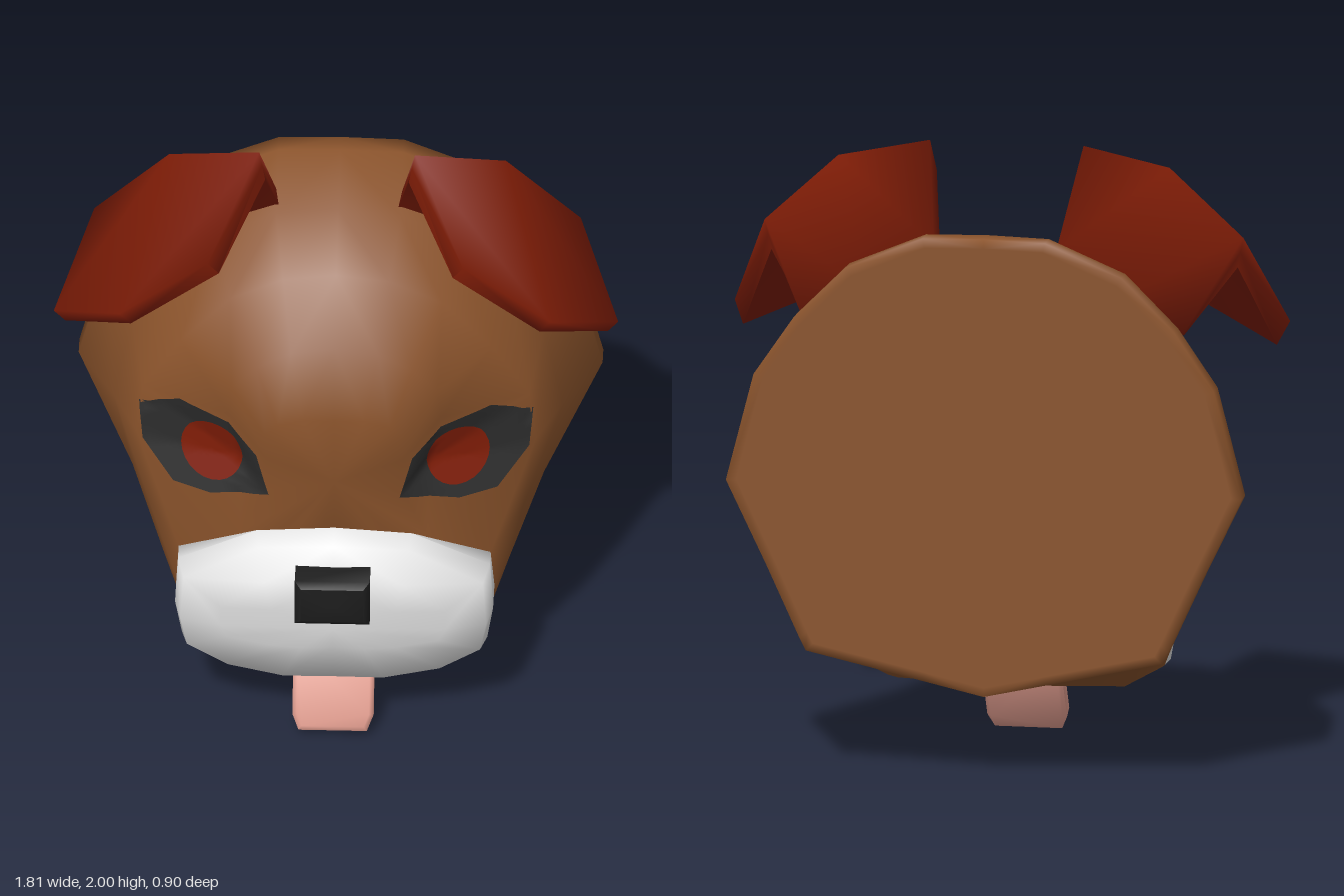
import * as THREE from 'three';
import { toCreasedNormals } from 'three/addons/utils/BufferGeometryUtils.js';

const mat = (name, color) => {
  const m = new THREE.MeshStandardMaterial({ color });
  m.name = name;
  return m;
};

// Skin closed rings of [x, y, z] points, capping both ends around a centre point
function loft(rings, crease, startCentre, endCentre) {
  const n = rings[0].length, pos = rings.flat(2), idx = [];
  const mean = (r) => [0, 1, 2].map((k) => r.reduce((s, p) => s + p[k], 0) / n);
  for (let r = 0; r < rings.length - 1; r++) {
    for (let i = 0; i < n; i++) {
      const a = r * n + i, b = r * n + (i + 1) % n;
      // The second half takes the other diagonal, so mirrored rings stay symmetric
      if (i < n / 2) idx.push(a, b, b + n, a, b + n, a + n);
      else idx.push(a, b, a + n, b, b + n, a + n);
    }
  }
  const s = rings.length * n, last = (rings.length - 1) * n;
  pos.push(...(startCentre || mean(rings[0])), ...(endCentre || mean(rings[rings.length - 1])));
  for (let i = 0; i < n; i++) {
    const j = (i + 1) % n;
    idx.push(s, j, i, s + 1, last + i, last + j);
  }
  // Turn the faces outward if the enclosed volume is negative
  const v = (i) => new THREE.Vector3().fromArray(pos, i * 3);
  let volume = 0;
  for (let i = 0; i < idx.length; i += 3) volume += v(idx[i]).dot(v(idx[i + 1]).cross(v(idx[i + 2])));
  if (volume < 0) idx.reverse();
  const g = new THREE.BufferGeometry();
  g.setAttribute('position', new THREE.Float32BufferAttribute(pos, 3));
  g.setIndex(idx);
  return toCreasedNormals(g, crease);
}

// Complete a half ring that runs from the top centre to the bottom centre
const mirrorRing = (half) => [...half, ...half.slice(1, -1).reverse().map(([x, y, z]) => [-x, y, z])];

// Lay a flat outline onto a surface, following its curvature
function drape(target, outline, lift) {
  const ray = new THREE.Raycaster(), dir = new THREE.Vector3(0, 0, -1);
  const n = outline.length, steps = 8, pos = [], idx = [];
  const cx = outline.reduce((s, p) => s + p[0], 0) / n, cy = outline.reduce((s, p) => s + p[1], 0) / n;
  for (let k = 0; k <= steps; k++) {
    for (const [px, py] of outline) {
      const x = cx + (px - cx) * k / steps, y = cy + (py - cy) * k / steps;
      ray.set(new THREE.Vector3(x, y, 2), dir);
      const hit = ray.intersectObject(target)[0];
      pos.push(x, y, (hit ? hit.point.z : 0) + lift);
    }
  }
  for (let k = 0; k < steps; k++) {
    for (let i = 0; i < n; i++) {
      const a = k * n + i, b = k * n + (i + 1) % n;
      if (k > 0) idx.push(a, b + n, b);
      idx.push(a, a + n, b + n);
    }
  }
  const g = new THREE.BufferGeometry();
  g.setAttribute('position', new THREE.Float32BufferAttribute(pos, 3));
  g.setIndex(idx);
  g.computeVertexNormals();
  return g;
}

// Add points along the edges of a polygon
const subdivide = (pts, m) => pts.flatMap((p, i) => {
  const q = pts[(i + 1) % pts.length];
  return Array.from({ length: m }, (_, k) => [p[0] + (q[0] - p[0]) * k / m, p[1] + (q[1] - p[1]) * k / m]);
});

export function createModel() {
  const group = new THREE.Group();
  const brown = mat('brown fur', 0x8a532b);
  const red = mat('rust red', 0x801d07);
  const white = mat('white muzzle', 0xe0e0e0);
  const dark = mat('dark eye patch', 0x2c2c2c);
  const black = mat('black nose', 0x1e1e1e);
  const pink = mat('pink tongue', 0xe09c8e);
  const add = (name, geometry, material) => {
    const m = new THREE.Mesh(geometry, material);
    m.name = name;
    group.add(m);
    return m;
  };

  // Head: flat back plate, narrowing toward the face and meeting the muzzle's slanted edge
  const rim = [[0, 1.77], [0.2, 1.765], [0.45, 1.66], [0.62, 1.49], [0.75, 1.3], [0.84, 0.95], [0.71, 0.68], [0.6, 0.44], [0.58, 0.4], [0.4, 0.36], [0.2, 0.315], [0, 0.27]];
  const plate = rim.map(([x, y]) => [x * 0.96, 1 + (y - 1) * 0.96]);
  const atZ = (pts, z) => pts.map(([x, y, own]) => [x, y, own ?? z]);
  const headRings = [
    atZ(plate, -0.45),
    atZ(rim, -0.45),
    atZ(rim, -0.38),
    atZ([[0, 1.7], [0.2, 1.68], [0.4, 1.58], [0.55, 1.43], [0.66, 1.25], [0.72, 0.95], [0.66, 0.68], [0.58, 0.46], [0.54, 0.345], [0.42, 0.295], [0.22, 0.262], [0, 0.24]], -0.15),
    atZ([[0, 1.58], [0.17, 1.56], [0.34, 1.48], [0.5, 1.31], [0.62, 1.13], [0.64, 0.95], [0.6, 0.7, 0.07], [0.555, 0.47, 0.03], [0.508, 0.3, 0], [0.39, 0.233, -0.01], [0.2, 0.222, -0.01], [0, 0.218, -0.01]], 0.045),
    atZ([[0, 1.4], [0.14, 1.38], [0.25, 1.32], [0.33, 1.24], [0.34, 1.12, 0.178], [0.3, 0.95, 0.155], [0.5, 0.6, 0.185], [0.51, 0.42, 0.115], [0.49, 0.28, 0.06], [0.37, 0.215, 0.04], [0.16, 0.208, 0.037], [0, 0.208, 0.035]], 0.2),
    atZ([[0, 1.18], [0.1, 1.18], [0.18, 1.15, 0.28], [0.22, 1.1, 0.265], [0.22, 1, 0.245], [0.22, 0.86, 0.23], [0.3, 0.69, 0.225], [0.25, 0.6, 0.2], [0.25, 0.5, 0.2], [0.2, 0.4, 0.2], [0.1, 0.4, 0.2], [0, 0.4, 0.2]], 0.29),
  ].map(mirrorRing);
  const head = add('head', loft(headRings, 1.8, null, [0, 0.9, 0.238]), brown);

  // Muzzle: slanted back edge, blunt front
  const muzzleRings = [
    [[0, 0.72, 0.235], [0.25, 0.7, 0.23], [0.5, 0.6, 0.185], [0.51, 0.42, 0.115], [0.49, 0.28, 0.06], [0.37, 0.215, 0.04], [0.16, 0.208, 0.037], [0, 0.208, 0.035]],
    [[0, 0.69, 0.3], [0.24, 0.675, 0.29], [0.5, 0.6, 0.25], [0.51, 0.42, 0.24], [0.49, 0.275, 0.2], [0.37, 0.2, 0.2], [0.165, 0.168, 0.25], [0, 0.175, 0.26]],
    [[0, 0.6, 0.388], [0.22, 0.6, 0.378], [0.48, 0.58, 0.33], [0.49, 0.42, 0.335], [0.47, 0.3, 0.305], [0.34, 0.215, 0.295], [0.16, 0.185, 0.31], [0, 0.19, 0.315]],
    [[0, 0.5, 0.393], [0.2, 0.5, 0.388], [0.36, 0.49, 0.365], [0.36, 0.42, 0.365], [0.34, 0.37, 0.357], [0.2, 0.35, 0.372], [0.1, 0.35, 0.385], [0, 0.36, 0.39]],
  ].map(mirrorRing);
  add('muzzle', loft(muzzleRings, 1.5, null, [0, 0.43, 0.393]), white);

  // Nose: block with a bevelled front
  const noseRing = (w, h, y, z) => [[w, y + h, z], [-w, y + h, z], [-w, y - h, z], [w, y - h, z]];
  add('nose', loft([
    noseRing(0.12, 0.083, 0.56, 0.34), noseRing(0.12, 0.083, 0.56, 0.425), noseRing(0.1, 0.062, 0.565, 0.45),
  ], 1, null, null), black);

  // Tongue: bevelled slab hanging forward from the mouth
  const tongueShape = new THREE.Shape([[-0.1, 0], [0.1, 0], [0.116, 0.04], [0.116, 0.25], [-0.116, 0.25], [-0.116, 0.04]].map(([x, y]) => new THREE.Vector2(x, y)));
  const tongueGeo = new THREE.ExtrudeGeometry(tongueShape, { depth: 0.045, bevelThickness: 0.012, bevelSize: 0.014, bevelSegments: 1 });
  const tongue = add('tongue', toCreasedNormals(tongueGeo, 1), pink);
  tongue.position.set(0, 0.014, 0.337);
  tongue.rotation.x = -0.53;

  // Eyes and ears, one per side
  const patch = [[0.21, 0.85], [0.4, 0.805], [0.52, 0.82], [0.62, 0.94], [0.632, 1.07], [0.5, 1.13], [0.34, 1.09], [0.25, 1]];
  const iris = Array.from({ length: 24 }, (_, i) => {
    const a = i / 24 * Math.PI * 2;
    return [0.395 + 0.1 * Math.cos(a), 0.963 + 0.108 * Math.sin(a)];
  });
  // Folded ear: back base, ridge and front edge at three stations
  const earStations = [
    [[0.2, 1.7, -0.25], [0.25, 2, -0.04], [0.41, 1.675, 0.125]],
    [[0.42, 1.56, -0.29], [0.54, 1.95, -0.09], [0.69, 1.51, 0.18]],
    [[0.62, 1.45, -0.28], [0.78, 1.73, -0.09], [0.905, 1.43, 0.06]],
  ];
  const earRings = earStations.map(([b, r, f]) => [
    b, r, f,
    [f[0] - 0.035, f[1] - 0.07, f[2] - 0.045],
    [r[0] - 0.02, r[1] - 0.1, r[2] + 0.01],
    [b[0] - 0.01, b[1] - 0.02, b[2] + 0.06],
  ]);
  // The cap centre sits inside the bend so the fold keeps its notch
  const capCentre = (r) => [0, 1, 2].map((k) => (r[1][k] + r[4][k]) / 2);
  for (const [side, s] of [['left', 1], ['right', -1]]) {
    const flip = (pts) => (s > 0 ? pts : pts.map(([x, y]) => [-x, y]).reverse());
    add(side + 'EyePatch', drape(head, flip(subdivide(patch, 4)), 0.012), dark);
    add(side + 'Iris', drape(head, flip(iris), 0.021), red);
    const rings = earRings.map((ring) => ring.map(([x, y, z]) => [s * x, y, z]));
    add(side + 'Ear', loft(rings, 2.2, capCentre(rings[0]), capCentre(rings[2])), red);
  }
  return group;
}
